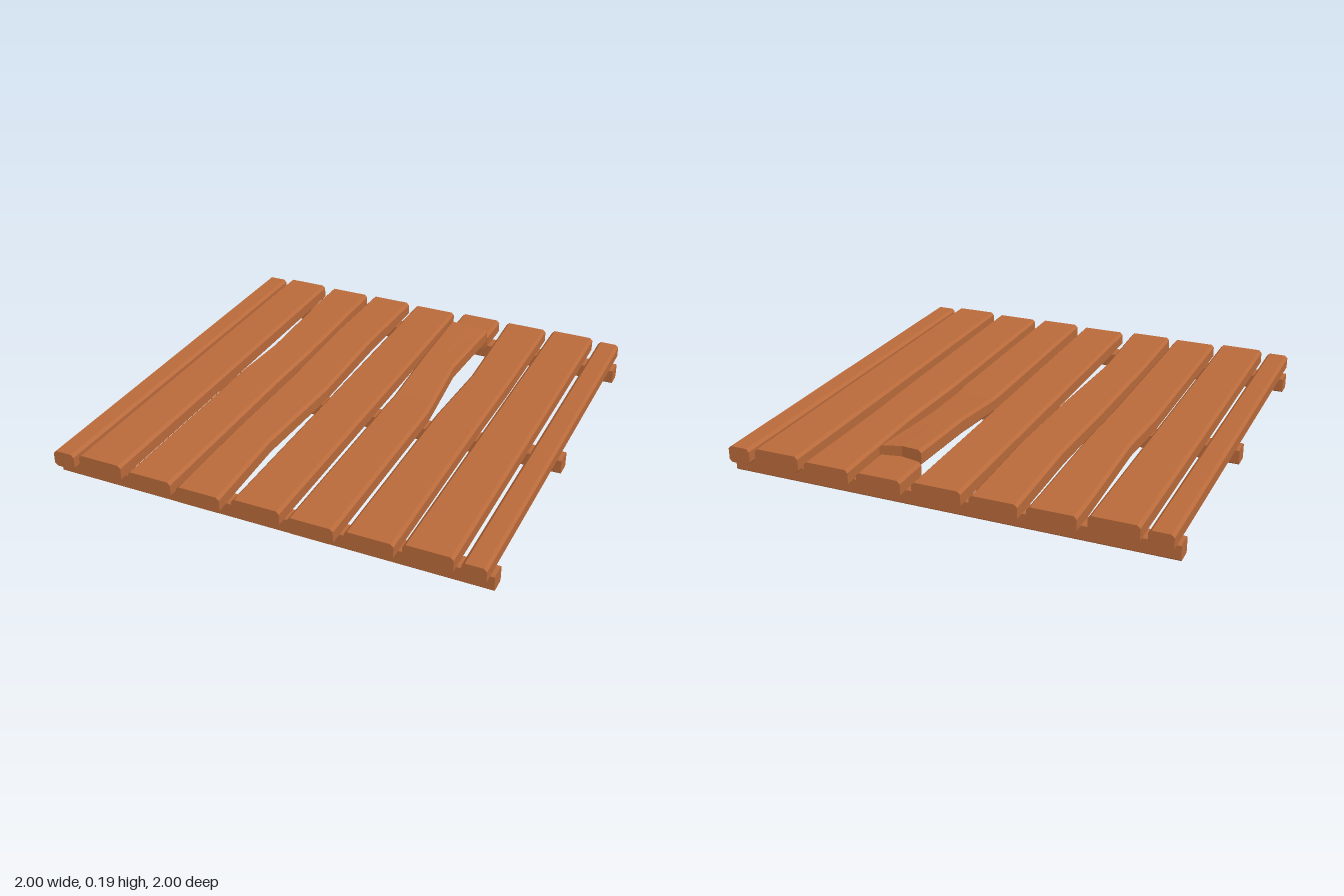
import * as THREE from 'three';

const wood = new THREE.MeshStandardMaterial({ color: 0xb96a3a, flatShading: true });

// Lofts a chamfered bar along z.
// Section: [z, left x, right x, bottom y, top y, midline z shift, drop of the right edge]
function bar(sections, c = 0.013) {
  const pos = [], index = [], n = 10;
  for (const [z, l, r, b, t, v = 0, drop = 0] of sections) {
    const m = (l + r) / 2;
    const ring = [
      [m, b], [r - c, b], [r, b + c], [r, t - c], [r - c, t],
      [m, t], [l + c, t], [l, t - c], [l, b + c], [l + c, b],
    ];
    for (const [x, y] of ring) {
      const f = (x - l) / (r - l);
      pos.push(x, y - drop * f, z + v * (1 - Math.abs(2 * f - 1)));
    }
  }
  const last = (sections.length - 1) * n;
  for (let s = 0; s < last; s += n) {
    for (let i = 0; i < n; i++) {
      const j = (i + 1) % n;
      index.push(s + i, s + j, s + n + j, s + i, s + n + j, s + n + i);
    }
  }
  for (let i = 1; i < n - 1; i++) {
    index.push(0, i + 1, i, last, last + i, last + i + 1);
  }
  const g = new THREE.BufferGeometry();
  g.setAttribute('position', new THREE.Float32BufferAttribute(pos, 3));
  g.setIndex(index);
  const flat = g.toNonIndexed();
  flat.computeVertexNormals();
  return flat;
}

export function createModel() {
  const group = new THREE.Group();
  const add = (name, geometry) => {
    const mesh = new THREE.Mesh(geometry, wood);
    mesh.name = name;
    group.add(mesh);
  };

  // Three cross rails underneath
  [-0.888, 0, 0.885].forEach((z, i) => {
    const g = bar([[-1, -0.038, 0.038, 0, 0.075], [1, -0.038, 0.038, 0, 0.075]], 0.007);
    g.rotateY(Math.PI / 2).translate(0, 0, z);
    add(`rail${i + 1}`, g);
  });

  // Straight planks
  const straight = {
    edgePlankRight: [-0.988, -0.885, 0.07, 0.145],
    outerPlankRight: [-0.855, -0.645, 0.078, 0.155],
    centrePlank: [-0.11, 0.108, 0.07, 0.145],
    outerPlankLeft: [0.642, 0.852, 0.078, 0.155],
    edgePlankLeft: [0.883, 0.985, 0.07, 0.145],
  };
  for (const [name, s] of Object.entries(straight)) {
    add(name, bar([[-0.988, ...s], [0.983, ...s]]));
  }

  // Warped planks
  add('warpedPlankRight', bar([
    [-0.997, -0.605, -0.397, 0.07, 0.145],
    [-0.85, -0.605, -0.397, 0.07, 0.145],
    [-0.3, -0.588, -0.39, 0.07, 0.145],
    [0, -0.605, -0.397, 0.07, 0.145],
    [0.99, -0.605, -0.397, 0.07, 0.145],
  ]));
  add('bowedPlank', bar([
    [-1, -0.36, -0.153, 0.07, 0.145],
    [-0.5, -0.357, -0.153, 0.08, 0.16],
    [0, -0.36, -0.153, 0.07, 0.145],
    [0.52, -0.367, -0.178, 0.07, 0.145],
    [1, -0.362, -0.158, 0.07, 0.145],
  ]));
  add('warpedPlankLeft', bar([
    [-0.997, 0.397, 0.605, 0.07, 0.145],
    [-0.42, 0.415, 0.605, 0.06, 0.14],
    [0, 0.397, 0.605, 0.07, 0.145],
    [0.99, 0.397, 0.608, 0.07, 0.145],
  ]));

  // Snapped plank: short stub at the back, long piece curling up to the break
  add('brokenPlankStub', bar([
    [-1, 0.153, 0.355, 0.07, 0.145],
    [-0.814, 0.153, 0.355, 0.07, 0.145, 0.02],
  ]));
  add('brokenPlank', bar([
    [-0.804, 0.157, 0.355, 0.12, 0.195, 0.018, 0.012],
    [-0.4, 0.157, 0.328, 0.1, 0.177, 0, 0.006],
    [-0.08, 0.155, 0.35, 0.07, 0.145],
    [0, 0.153, 0.357, 0.07, 0.145],
    [1, 0.153, 0.355, 0.07, 0.145],
  ]));

  return group;
}
